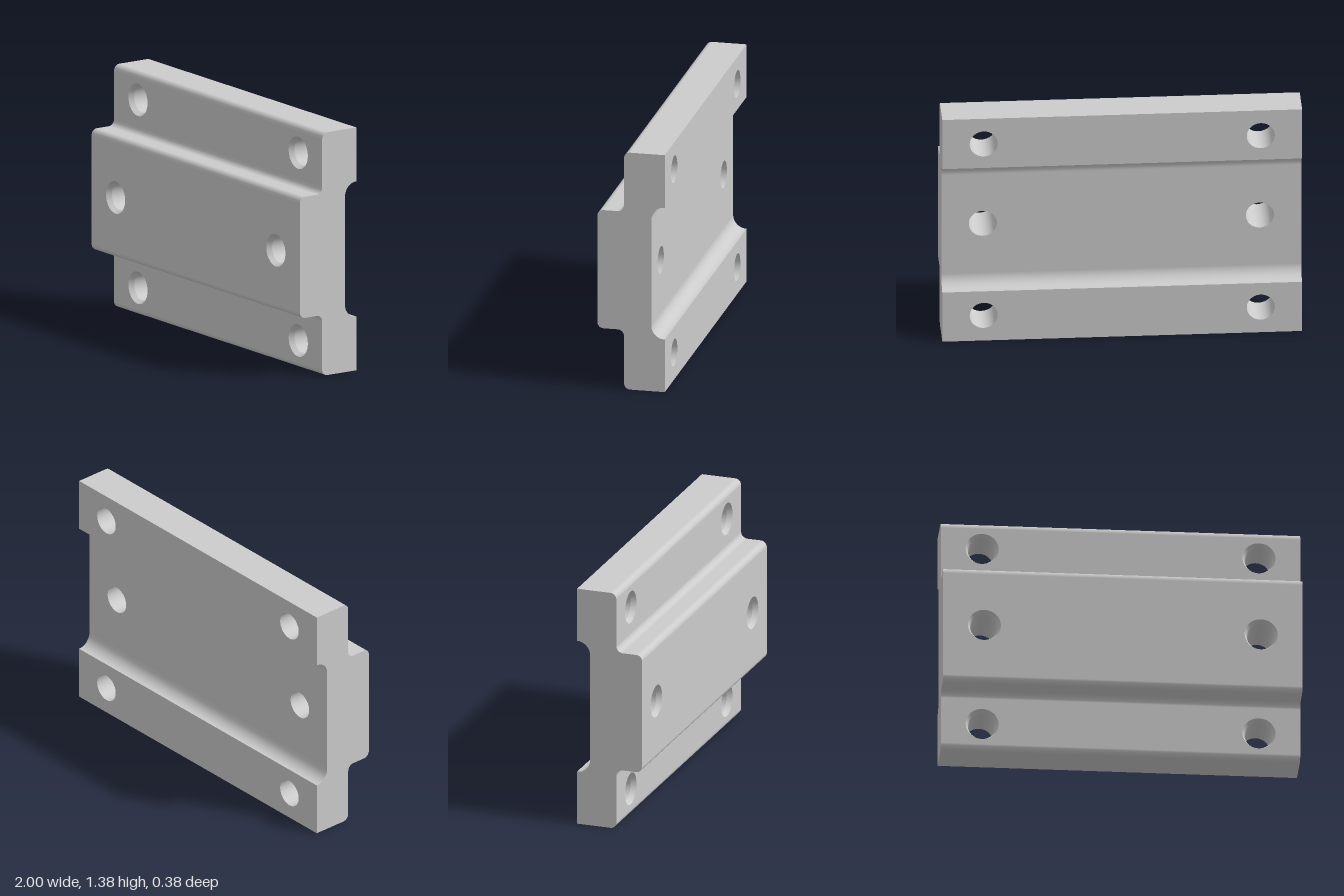
import * as THREE from 'three';

const HALF = 1, ARC_STEPS = 10;
const HOLE_X = 0.77, BORE_R = 0.078, MOUTH_R = 0.092, MOUTH_DEPTH = 0.03;
const ROWS = [0.157, 0.6925, 1.228];

// side profile: z, y, corner radius, running up the front and down the back
const CORNERS = [
  [-0.192, 0, 0], [0.04, 0, 0.035], [0.04, 0.347, 0.037], [0.192, 0.347, 0.035],
  [0.192, 1.038, 0.035], [0.04, 1.038, 0.037], [0.04, 1.385, 0.035], [-0.192, 1.385, 0],
  [-0.192, 1.078, 0], [-0.115, 1.078, 0.077], [-0.115, 0.307, 0.077], [-0.192, 0.307, 0],
].map(([z, y, r]) => ({ p: new THREE.Vector2(z, y), r }));

// points and outward normals of one rounded right-angle corner
function roundCorner(i) {
  const n = CORNERS.length, { p, r } = CORNERS[i];
  const din = p.clone().sub(CORNERS[(i + n - 1) % n].p).normalize();
  const dout = CORNERS[(i + 1) % n].p.clone().sub(p).normalize();
  if (!r) return [{ p, n: null }];
  const sign = Math.sign(din.cross(dout));
  const c = p.clone().addScaledVector(din, -r).addScaledVector(dout, r);
  return Array.from({ length: ARC_STEPS + 1 }, (_, k) => {
    const t = (k / ARC_STEPS) * Math.PI / 2;
    const d = dout.clone().multiplyScalar(-Math.cos(t)).addScaledVector(din, Math.sin(t));
    return { p: c.clone().addScaledVector(d, r), n: d.multiplyScalar(sign) };
  });
}

// strip of surface swept across the full width
function sweep(points) {
  const pos = [], nor = [], idx = [];
  points.forEach(({ p, n }, i) => {
    for (const x of [-HALF, HALF]) {
      pos.push(x, p.y, p.x);
      nor.push(0, n.y, n.x);
    }
    if (i) {
      const a = 2 * i - 2;
      idx.push(a, a + 1, a + 3, a, a + 3, a + 2);
    }
  });
  const g = new THREE.BufferGeometry();
  g.setAttribute('position', new THREE.Float32BufferAttribute(pos, 3));
  g.setAttribute('normal', new THREE.Float32BufferAttribute(nor, 3));
  g.setIndex(idx);
  return g;
}

// upright flat face with its pair of holes
function drilledFace(a, b) {
  const front = b.y > a.y, lo = Math.min(a.y, b.y), hi = Math.max(a.y, b.y);
  const s = new THREE.Shape([
    new THREE.Vector2(-HALF, lo), new THREE.Vector2(HALF, lo),
    new THREE.Vector2(HALF, hi), new THREE.Vector2(-HALF, hi),
  ]);
  for (const y of ROWS.filter((v) => v > lo && v < hi)) {
    for (const x of [-HOLE_X, HOLE_X]) {
      s.holes.push(new THREE.Path().absarc(x, y, front ? MOUTH_R : BORE_R, 0, Math.PI * 2, true));
    }
  }
  const g = new THREE.ShapeGeometry(s, 24);
  if (!front) g.rotateY(Math.PI);
  return g.translate(0, 0, a.x);
}

export function createModel() {
  const model = new THREE.Group();
  const plate = new THREE.Group();
  plate.name = 'steppedPlate';
  model.add(plate);
  const mat = new THREE.MeshStandardMaterial({ color: 0xcccccc });
  const add = (name, geo, parent = plate) => {
    const m = new THREE.Mesh(geo, mat);
    m.name = name;
    parent.add(m);
    return m;
  };

  // rounded corners and the flats joining them
  const rounded = CORNERS.map((_, i) => roundCorner(i));
  rounded.forEach((pts, i) => {
    if (pts.length > 1) add('roundedEdge', sweep(pts));
    const a = pts[pts.length - 1].p, b = rounded[(i + 1) % rounded.length][0].p;
    const d = b.clone().sub(a);
    if (d.length() < 1e-4) return;
    if (Math.abs(d.y) > Math.abs(d.x)) {
      add(d.y > 0 ? 'frontFace' : 'backFace', drilledFace(a, b));
    } else {
      const n = new THREE.Vector2(0, -Math.sign(d.x));
      add('ledge', sweep([{ p: a, n }, { p: b, n }]));
    }
  });

  // end faces
  const outline = rounded.flat().map((q) => q.p);
  for (const side of [-1, 1]) {
    const shape = new THREE.Shape(outline.map((p) => new THREE.Vector2(-side * p.x, p.y)));
    const g = new THREE.ShapeGeometry(shape).rotateY(side * Math.PI / 2).translate(side * HALF, 0, 0);
    add(side > 0 ? 'leftEnd' : 'rightEnd', g);
  }

  // bolt holes with a chamfered mouth at the front
  ROWS.forEach((y, row) => {
    const [zf, zb] = row === 1 ? [0.192, -0.115] : [0.04, -0.192];
    const ring = (r0, z0, r1, z1) => new THREE.LatheGeometry(
      [new THREE.Vector2(r0, z0), new THREE.Vector2(r1, z1)], 48).rotateX(Math.PI / 2);
    for (const x of [-HOLE_X, HOLE_X]) {
      const hole = new THREE.Group();
      hole.name = 'boltHole';
      hole.position.set(x, y, 0);
      add('chamfer', ring(MOUTH_R, zf, BORE_R, zf - MOUTH_DEPTH), hole);
      add('bore', ring(BORE_R, zf - MOUTH_DEPTH, BORE_R, zb), hole);
      plate.add(hole);
    }
  });
  return model;
}
